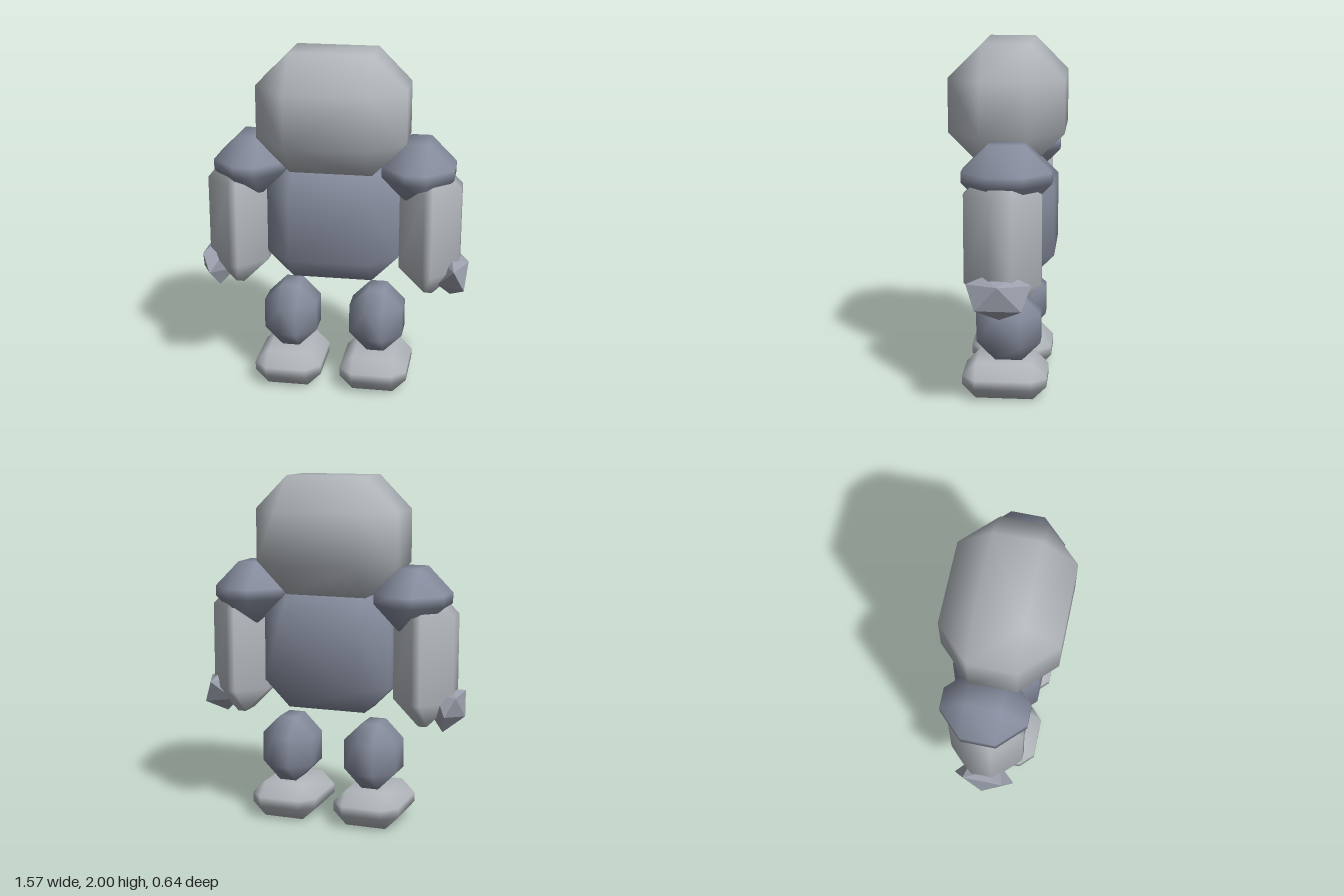
import * as THREE from 'three';
import { mergeVertices } from 'three/addons/utils/BufferGeometryUtils.js';
import { ConvexGeometry } from 'three/addons/geometries/ConvexGeometry.js';

const mat = (name, color, flatShading = false) => {
  const m = new THREE.MeshStandardMaterial({ color, flatShading });
  m.name = name;
  return m;
};

// Box with every edge and corner cut by c, then shaded smoothly
function chamferBox([x0, x1], [y0, y1], [z0, z1], c) {
  const h = [(x1 - x0) / 2, (y1 - y0) / 2, (z1 - z0) / 2];
  const points = [];
  for (const sx of [-1, 1]) for (const sy of [-1, 1]) for (const sz of [-1, 1])
    for (let axis = 0; axis < 3; axis++) {
      const p = h.map((v, i) => (i === axis ? v : v - c));
      points.push(new THREE.Vector3(sx * p[0], sy * p[1], sz * p[2]));
    }
  let geo = new ConvexGeometry(points);
  geo.deleteAttribute('normal');
  geo = mergeVertices(geo, 1e-4);
  geo.computeVertexNormals();
  return geo.translate((x0 + x1) / 2, (y0 + y1) / 2, (z0 + z1) / 2);
}

// Faceted rock from points in pairs: [x, y, z] is repeated at -z
function rock(list) {
  const points = [];
  for (const [x, y, z] of list) {
    points.push(new THREE.Vector3(x, y, z));
    if (z) points.push(new THREE.Vector3(x, y, -z));
  }
  return new ConvexGeometry(points);
}

export function createModel() {
  const group = new THREE.Group();
  const light = mat('lightStone', 0xb2b7bc);
  const dark = mat('slateStone', 0x858b9c);
  const handMat = mat('handStone', 0x9a9fab, true);
  const add = (name, geo, material) => {
    const mesh = new THREE.Mesh(geo, material);
    mesh.name = name;
    group.add(mesh);
  };

  // Head and body
  add('head', chamferBox([-0.423, 0.423], [1.32, 2], [-0.322, 0.322], 0.19), light);
  add('torso', chamferBox([-0.38, 0.38], [0.665, 1.345], [-0.27, 0.22], 0.15), dark);

  // Limbs on both sides
  for (const [side, s] of [['left', 1], ['right', -1]]) {
    const span = (a, b) => (s > 0 ? [a, b] : [-b, -a]);
    add(side + 'Shoulder', chamferBox(span(0.28, 0.687), [1.15, 1.5], [-0.27, 0.215], 0.145), dark);
    add(side + 'Arm', chamferBox(span(0.383, 0.73), [0.6, 1.39], [-0.22, 0.2], 0.15), light);
    add(side + 'Leg', chamferBox(span(0.098, 0.41), [0.21, 0.597], [-0.2, 0.165], 0.107), dark);
    add(side + 'Foot', chamferBox(span(0.057, 0.45), [0.003, 0.212], [-0.24, 0.24], 0.078), light);
  }

  // Faceted hands
  add('leftHand', rock([
    [0.783, 0.79, 0], [0.69, 0.825, 0.075], [0.71, 0.785, 0.175], [0.767, 0.655, 0.125],
    [0.68, 0.58, 0], [0.61, 0.67, 0.08], [0.615, 0.8, 0],
  ]), handMat);
  add('rightHand', rock([
    [-0.787, 0.665, 0], [-0.76, 0.79, 0.115], [-0.71, 0.69, 0.175], [-0.717, 0.817, 0],
    [-0.675, 0.58, 0.07], [-0.585, 0.665, 0], [-0.64, 0.79, 0.08],
  ]), handMat);

  return group;
}
